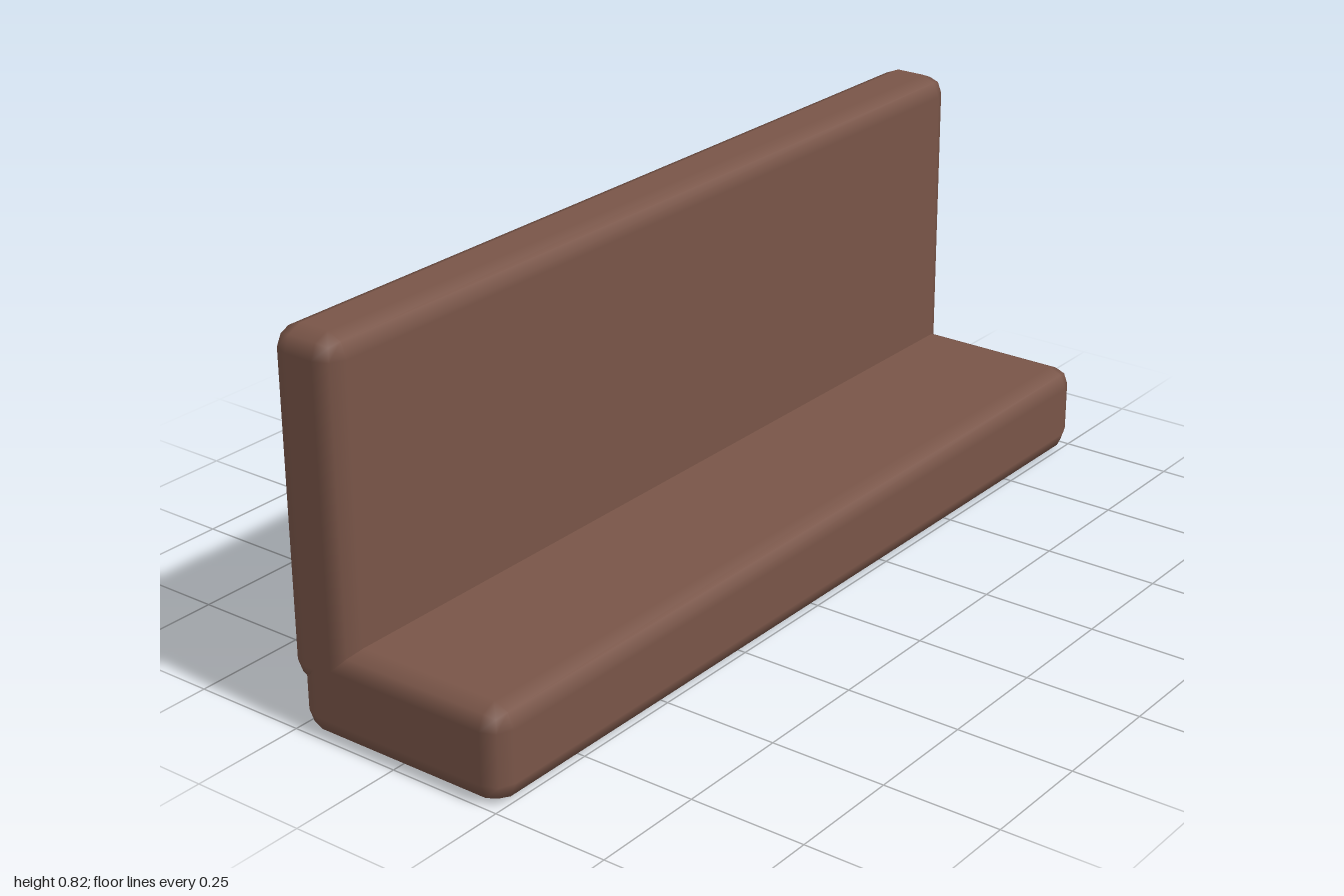
import * as THREE from 'three';
import { RoundedBoxGeometry } from 'three/addons/geometries/RoundedBoxGeometry.js';

const EDGE_RADIUS = 0.045;

export function createModel() {
  const group = new THREE.Group();
  group.name = 'bench';

  const brown = new THREE.MeshStandardMaterial({ color: 0x795548 });
  brown.name = 'brown';

  // Soft-edged slab spanning the full width, given its y and z extents
  function slab(name, y0, y1, z0, z1) {
    const geometry = new RoundedBoxGeometry(2, y1 - y0, z1 - z0, 1, EDGE_RADIUS);
    const mesh = new THREE.Mesh(geometry, brown);
    mesh.name = name;
    mesh.position.set(0, (y0 + y1) / 2, (z0 + z1) / 2);
    group.add(mesh);
  }

  // Low seat resting on the ground
  slab('seat', 0, 0.2, -0.238, 0.26);
  // Upright backrest, sunk into the seat and overhanging it slightly at the rear
  slab('backrest', 0.1, 0.823, -0.26, -0.105);

  return group;
}
